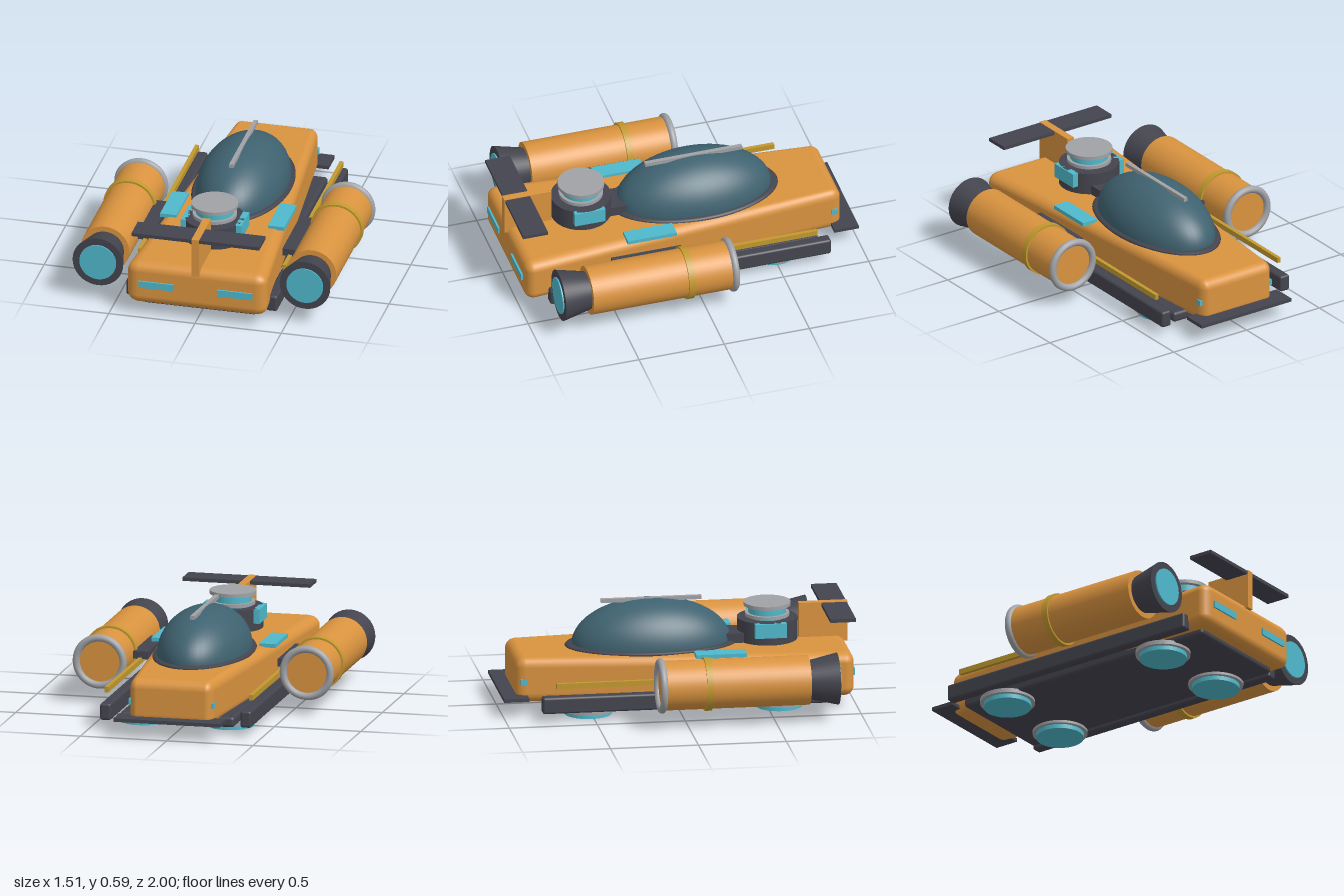
import * as THREE from 'three';
import { RoundedBoxGeometry } from 'three/addons/geometries/RoundedBoxGeometry.js';

const mat = (name, color) => Object.assign(new THREE.MeshStandardMaterial({ color }), { name });

export function createModel() {
  const orange = mat('orangePaint', 0xd9933f);
  const dark = mat('darkTrim', 0x44444e);
  const cyan = mat('cyanGlow', 0x4fb9cc);
  const glass = mat('canopyGlass', 0x3f6270);
  const silver = mat('silverMetal', 0xa0a2a6);
  const gold = mat('goldTrim', 0xc2992f);

  const root = new THREE.Group();
  root.name = 'hoverRacer';

  const add = (name, geometry, material, x = 0, y = 0, z = 0, parent = root) => {
    const mesh = new THREE.Mesh(geometry, material);
    mesh.name = name;
    mesh.position.set(x, y, z);
    parent.add(mesh);
    return mesh;
  };
  // Box given by its limits on each axis; r rounds the edges
  const box = (name, material, [x0, x1], [y0, y1], [z0, z1], r = 0) => {
    const size = [x1 - x0, y1 - y0, z1 - z0];
    const g = r ? new RoundedBoxGeometry(...size, 3, r) : new THREE.BoxGeometry(...size);
    return add(name, g, material, (x0 + x1) / 2, (y0 + y1) / 2, (z0 + z1) / 2);
  };
  // Upright disc between two heights
  const disc = (name, material, rTop, rBottom, y0, y1, x, z) =>
    add(name, new THREE.CylinderGeometry(rTop, rBottom, y1 - y0, 40), material, x, (y0 + y1) / 2, z);

  // Hull: rounded box whose width grows along z
  const hull = new RoundedBoxGeometry(0.64, 0.255, 1.9, 5, 0.055);
  const p = hull.attributes.position, n = hull.attributes.normal;
  const v = new THREE.Vector3();
  for (let i = 0; i < p.count; i++) {
    const s = 1 + 0.281 * (p.getZ(i) + 0.03);
    v.set(n.getX(i) / s, n.getY(i), n.getZ(i) - (n.getX(i) * p.getX(i) * 0.281) / s).normalize();
    n.setXYZ(i, v.x, v.y, v.z);
    p.setX(i, p.getX(i) * s);
  }
  add('hull', hull, orange, 0, 0.197, 0.03);
  box('floorPan', dark, [-0.33, 0.33], [0.04, 0.1], [-0.76, 0.9], 0.018);

  // Canopy with its rim and spine
  const canopy = add('canopy', new THREE.SphereGeometry(0.255, 48, 20, 0, Math.PI * 2, 0, Math.PI / 2), glass, 0, 0.33, -0.12);
  canopy.scale.z = 1.77;
  const rim = add('canopyRim', new THREE.TorusGeometry(0.255, 0.022, 10, 64).rotateX(Math.PI / 2), dark, 0, 0.326, -0.12);
  rim.scale.set(1, 0.6, 1.77);
  box('canopySpine', silver, [-0.012, 0.012], [0.568, 0.59], [-0.405, 0.165]);

  // Turret behind the canopy
  box('turretNeck', dark, [-0.088, 0.088], [0.31, 0.38], [0.29, 0.45]);
  disc('turretBase', dark, 0.17, 0.17, 0.32, 0.45, 0, 0.54);
  disc('turretCore', cyan, 0.107, 0.107, 0.44, 0.52, 0, 0.54);
  disc('turretRing', silver, 0.125, 0.125, 0.458, 0.477, 0, 0.54);
  disc('turretCap', silver, 0.132, 0.132, 0.517, 0.538, 0, 0.54);

  // Tail fin and wing, nose splitter
  box('tailFin', orange, [-0.022, 0.022], [0.293, 0.523], [0.718, 0.995]);
  box('tailWing', dark, [-0.37, 0.37], [0.5, 0.52], [0.845, 0.99]);
  box('noseSplitter', dark, [-0.308, 0.308], [0.093, 0.113], [-1, -0.857]);

  // Parts repeated on both sides
  for (const s of [-1, 1]) {
    const side = (a, b) => (s > 0 ? [a, b] : [-b, -a]);
    box('sideSkirt', dark, side(0.375, 0.438), [0.052, 0.148], [-0.8, 0.85], 0.014);
    box('sideRail', gold, side(0.408, 0.43), [0.195, 0.226], [-0.72, 0.605]);
    box('engineStrut', dark, side(0.375, 0.5), [0.217, 0.26], [0.065, 0.475]);
    box('deckPanel', cyan, side(0.265, 0.36), [0.318, 0.34], [0.085, 0.372]);
    box('tailLight', cyan, side(0.125, 0.33), [0.18, 0.22], [0.96, 0.99]);
    box('noseLight', cyan, side(0.21, 0.247), [0.175, 0.207], [-0.897, -0.86]);
    box('turretPanel', cyan, side(0.14, 0.176), [0.368, 0.45], [0.447, 0.627]);

    for (const z of [0.57, -0.515]) {
      disc('hoverPadRing', silver, 0.155, 0.155, 0.025, 0.05, s * 0.25, z);
      disc('hoverPadGlow', cyan, 0.134, 0.134, 0, 0.03, s * 0.25, z);
    }

    // Engine pod along z
    const pod = new THREE.Group();
    pod.name = 'enginePod';
    pod.position.set(s * 0.6, 0.24, 0);
    root.add(pod);
    const tube = (name, material, rFront, rBack, z0, z1) =>
      add(name, new THREE.CylinderGeometry(rFront, rBack, z1 - z0, 40).rotateX(Math.PI / 2), material, 0, 0, (z0 + z1) / 2, pod);
    tube('engineBody', orange, 0.14, 0.14, -0.15, 0.685);
    tube('engineBand', gold, 0.151, 0.151, 0.09, 0.127);
    tube('engineNozzle', dark, 0.147, 0.108, 0.68, 0.85);
    tube('engineGlow', cyan, 0.106, 0.106, 0.84, 0.858);
    add('intakeRing', new THREE.TorusGeometry(0.136, 0.021, 12, 48), silver, 0, 0, -0.152, pod);
  }
  return root;
}
